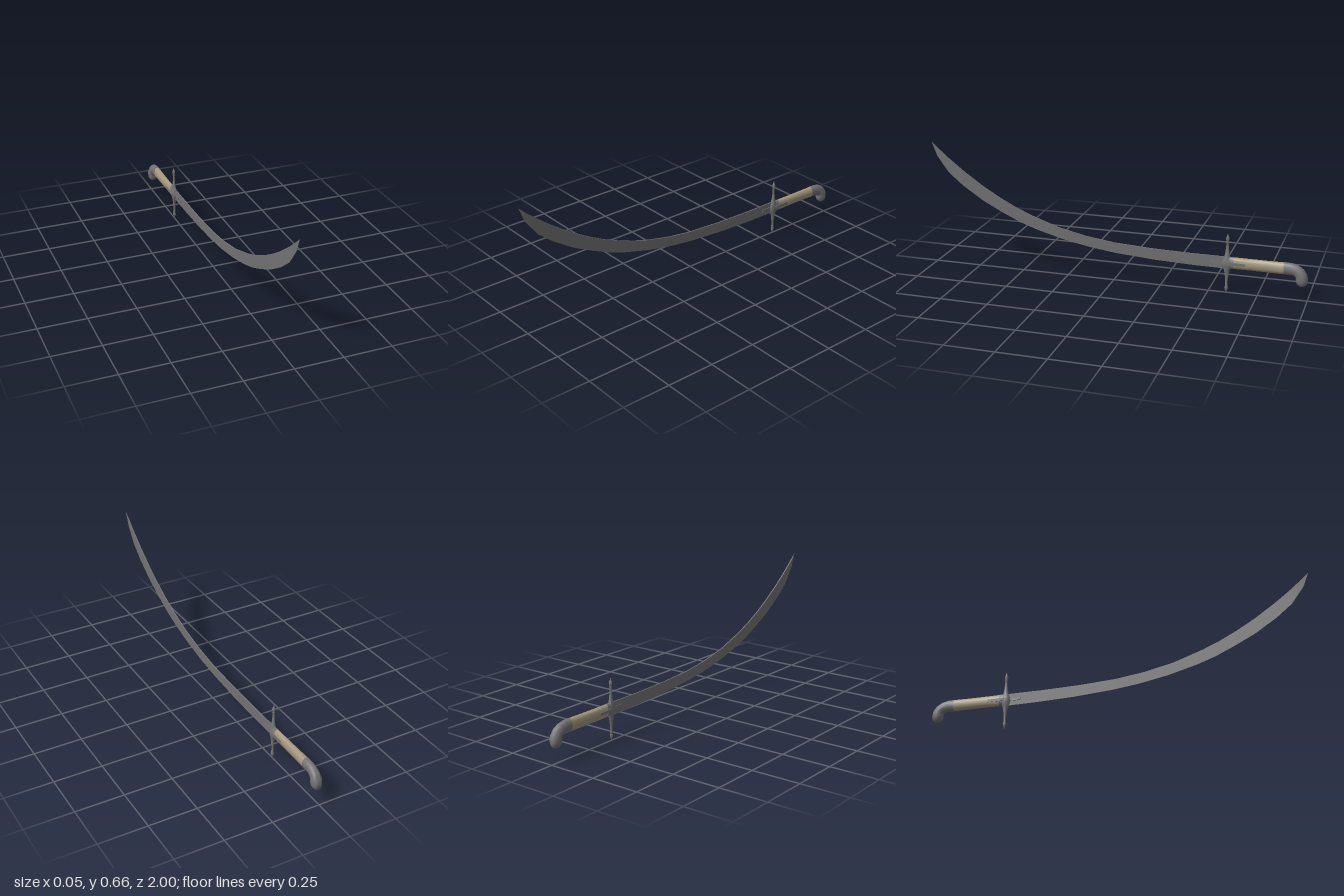
import * as THREE from 'three';
import { toCreasedNormals } from 'three/addons/utils/BufferGeometryUtils.js';

const steel = new THREE.MeshStandardMaterial({ name: 'bladeSteel', color: 0x747474 });
const iron = new THREE.MeshStandardMaterial({ name: 'hiltIron', color: 0x747474 });
const horn = new THREE.MeshStandardMaterial({ name: 'gripHorn', color: 0xa4987d });

// Skin a list of equal-length rings (arrays of [x, y, z]) and cap both ends
function loft(rings, crease) {
  const n = rings[0].length, index = [];
  for (let i = 0; i < rings.length - 1; i++) {
    for (let j = 0; j < n; j++) {
      const a = i * n + j, b = i * n + (j + 1) % n;
      index.push(a, b, b + n, a, b + n, a + n);
    }
  }
  const last = (rings.length - 1) * n;
  for (let j = 1; j < n - 1; j++) {
    index.push(0, j + 1, j, last, last + j, last + j + 1);
  }
  const geo = new THREE.BufferGeometry();
  geo.setAttribute('position', new THREE.Float32BufferAttribute(rings.flat(2), 3));
  geo.setIndex(index);
  return toCreasedNormals(geo, crease);
}

// Sweep an ellipse along a path in the yz plane; section = [y, z, half width in x, half depth]
function sweep(sections, sides, crease = 0.9) {
  const rings = sections.map(([y, z, w, h], i) => {
    const p = sections[Math.max(i - 1, 0)], q = sections[Math.min(i + 1, sections.length - 1)];
    const len = Math.hypot(q[0] - p[0], q[1] - p[1]);
    const dy = (q[0] - p[0]) / len, dz = (q[1] - p[1]) / len;
    return Array.from({ length: sides }, (_, j) => {
      const t = (j / sides) * Math.PI * 2, c = Math.cos(t) * w, s = Math.sin(t) * h;
      return [c, y + s * dz, z - s * dy];
    });
  });
  return loft(rings, crease);
}

export function createModel() {
  const sword = new THREE.Group();
  sword.name = 'curvedSabre';
  const add = (name, geo, mat) => {
    const mesh = new THREE.Mesh(geo, mat);
    mesh.name = name;
    sword.add(mesh);
    return mesh;
  };

  // Blade: wedge from a thick spine to a sharp edge; [spine z, spine y, edge z, edge y]
  const bladeStations = [
    [-0.60, 0.190, -0.60, 0.126], [-0.40, 0.190, -0.41, 0.128], [-0.20, 0.194, -0.22, 0.134],
    [0.00, 0.205, -0.02, 0.148], [0.15, 0.225, 0.12, 0.165], [0.30, 0.258, 0.27, 0.193],
    [0.45, 0.309, 0.42, 0.233], [0.54, 0.347, 0.51, 0.264], [0.63, 0.393, 0.61, 0.309],
    [0.72, 0.446, 0.72, 0.365], [0.82, 0.514, 0.83, 0.437], [0.90, 0.575, 0.91, 0.503],
    [0.965, 0.630, 0.973, 0.590], [1.00, 0.663, 0.999, 0.658],
  ];
  add('blade', loft(bladeStations.map(([sz, sy, ez, ey], i) => {
    const w = i === bladeStations.length - 1 ? 0.0005 : 0.003;
    return [[w, sy, sz], [-w, sy, sz], [-0.0004, ey, ez], [0.0004, ey, ez]];
  }), 0.4), steel);

  // Crossguard: swollen centre, slim arms and bud finials, mirrored about the middle
  const half = [
    [0.000, 0.016, 0.027], [0.018, 0.014, 0.024], [0.036, 0.010, 0.015], [0.060, 0.007, 0.010],
    [0.090, 0.005, 0.007], [0.108, 0.005, 0.006], [0.113, 0.007, 0.008], [0.118, 0.005, 0.006],
    [0.126, 0.008, 0.009], [0.138, 0.007, 0.008], [0.146, 0.003, 0.004], [0.155, 0.002, 0.002],
  ];
  const full = [...half.slice(1).reverse().map(([y, w, h]) => [-y, w, h]), ...half];
  add('crossguard', sweep(full.map(([y, w, h]) => [0.155 + y, -0.592, w, h]), 10), iron);

  // Langets: tongues lying close on the blade and stepping out over the grip, on each side
  for (const side of [1, -1]) {
    const geo = new THREE.BoxGeometry(0.004, 0.014, 0.175, 1, 1, 8);
    const pos = geo.attributes.position;
    for (let i = 0; i < pos.count; i++) {
      pos.setX(i, pos.getX(i) + side * (pos.getZ(i) > 0.01 ? 0.003 : 0.0155));
    }
    geo.computeVertexNormals();
    add(side > 0 ? 'leftLanget' : 'rightLanget', geo, iron).position.set(0, 0.158, -0.598);
  }

  // Ferrule and grip
  add('ferrule', sweep([[0.16, -0.580, 0.012, 0.031], [0.16, -0.625, 0.0150, 0.032]], 14), iron);
  add('grip', sweep([
    [0.160, -0.615, 0.0145, 0.031], [0.160, -0.70, 0.016, 0.030],
    [0.160, -0.80, 0.018, 0.030], [0.160, -0.89, 0.020, 0.031],
  ], 14), horn);

  // Pommel cap hooking downward into a rounded bulb
  add('pommel', sweep([
    [0.160, -0.878, 0.0215, 0.032], [0.160, -0.910, 0.0215, 0.031], [0.155, -0.935, 0.022, 0.030],
    [0.144, -0.954, 0.024, 0.029], [0.127, -0.966, 0.026, 0.030], [0.107, -0.968, 0.026, 0.031],
    [0.091, -0.967, 0.023, 0.028], [0.080, -0.965, 0.016, 0.019], [0.075, -0.964, 0.008, 0.009],
  ], 14, 1.1), iron);

  return sword;
}
